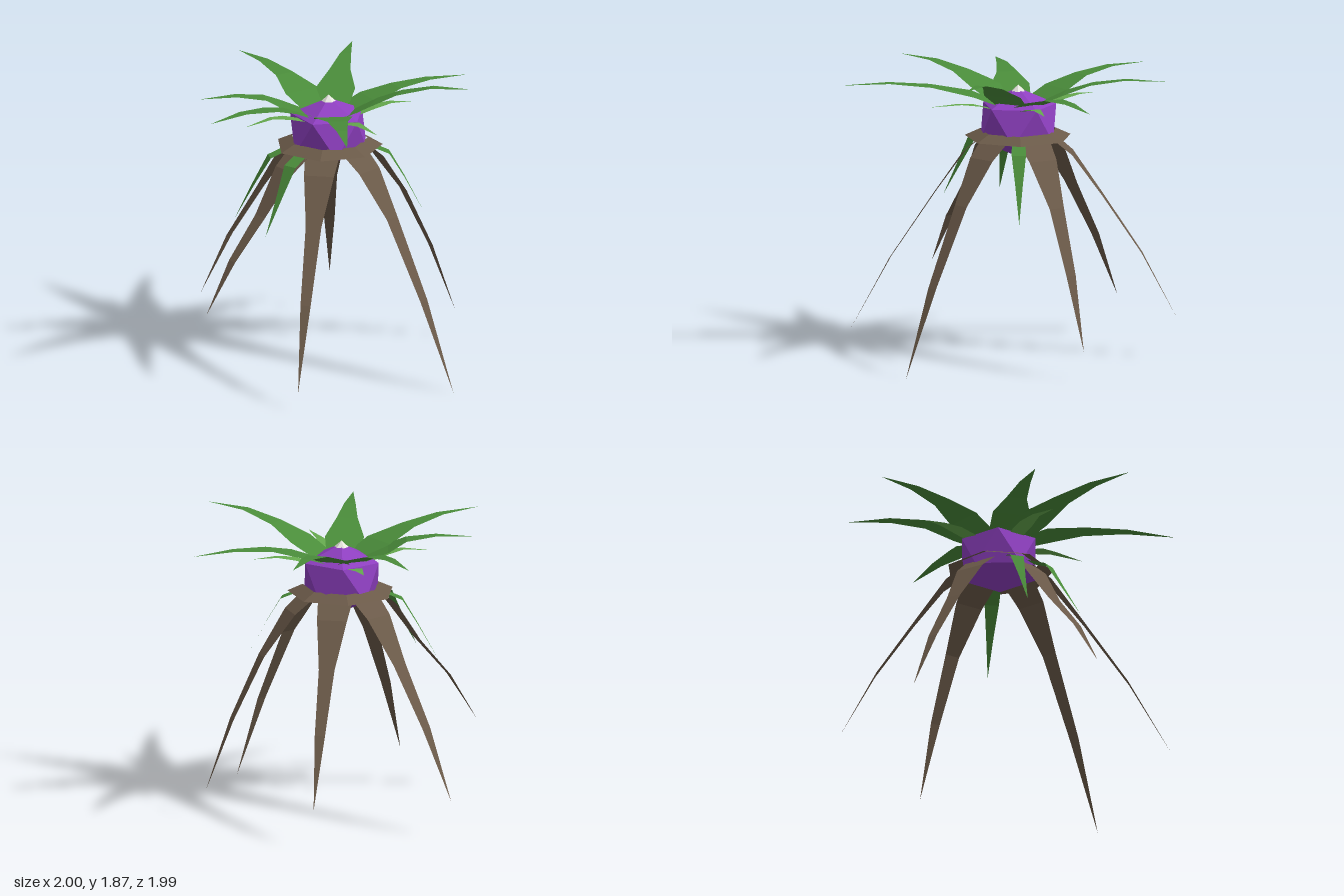
import * as THREE from 'three';

const CX = 0.02, CZ = -0.04; // axis of the plant

const mat = (name, color, side = THREE.DoubleSide) => {
  const m = new THREE.MeshStandardMaterial({ color, flatShading: true, side });
  m.name = name;
  return m;
};

// Flat tapering blade: rows of [radius, height, width] running out to a pointed tip.
function blade(name, material, tip, rows) {
  const [tx, ty, tz] = tip;
  const angle = Math.atan2(tz - CZ, tx - CX);
  const c = Math.cos(angle), s = Math.sin(angle);
  const pos = [], idx = [];
  for (const [r, y, w] of rows) {
    for (const k of [-w / 2, w / 2]) pos.push(CX + r * c - k * s, y, CZ + r * s + k * c);
  }
  pos.push(tx, ty, tz);
  const last = rows.length - 1;
  for (let i = 0; i < last; i++) {
    const a = i * 2;
    idx.push(a, a + 2, a + 1, a + 1, a + 2, a + 3);
  }
  idx.push(last * 2, last * 2 + 2, last * 2 + 1);
  const g = new THREE.BufferGeometry();
  g.setAttribute('position', new THREE.Float32BufferAttribute(pos, 3));
  g.setIndex(idx);
  g.computeVertexNormals();
  const mesh = new THREE.Mesh(g, material);
  mesh.name = name;
  return mesh;
}

// Twenty-sided bulb: two opposed pentagon rings with a point above and below.
function bulbGeometry(R, ringY, tipY) {
  const pos = [0, tipY, 0, 0, -tipY, 0], idx = [];
  for (let i = 0; i < 5; i++) {
    const a = i * Math.PI * 0.4, b = a + Math.PI / 5;
    pos.push(R * Math.cos(a), ringY, R * Math.sin(a));
    pos.push(R * Math.cos(b), -ringY, R * Math.sin(b));
  }
  for (let i = 0; i < 5; i++) {
    const t = 2 + i * 2, b = t + 1;
    const t2 = 2 + ((i + 1) % 5) * 2, b2 = t2 + 1;
    idx.push(0, t2, t, t, t2, b, b, t2, b2, 1, b, b2);
  }
  const g = new THREE.BufferGeometry();
  g.setAttribute('position', new THREE.Float32BufferAttribute(pos, 3));
  g.setIndex(idx);
  g.computeVertexNormals();
  return g;
}

export function createModel() {
  const model = new THREE.Group();
  model.name = 'spikyPlant';

  const purple = mat('purple', 0x8e3fc0, THREE.FrontSide);
  const green = mat('leafGreen', 0x4a8c3a);
  const lightGreen = mat('lightGreen', 0x66aa4e);
  const brown = mat('rootBrown', 0x6b5a49);
  const white = mat('paleTip', 0xeeeee6, THREE.FrontSide);

  const add = (name, geometry, material, y) => {
    const m = new THREE.Mesh(geometry, material);
    m.name = name;
    m.position.set(CX, y, CZ);
    model.add(m);
  };

  // Central bulb, its pale tip and the sloping seven-sided collar
  add('bulb', bulbGeometry(0.242, 0.112, 0.22), purple, 1.5);
  add('bulbTip', new THREE.ConeGeometry(0.045, 0.04, 6), white, 1.72);
  add('collar', new THREE.CylinderGeometry(0.245, 0.34, 0.045, 7, 1, true, -Math.PI / 2), brown, 1.43);

  // Crown of large leaves, arching up and levelling off
  const crown = [
    [-0.08, 1.78, -1.0], [0.615, 1.79, -0.78], [1.0, 1.72, -0.02], [0.65, 1.87, 0.67],
    [-0.435, 1.75, 0.99], [-1.0, 1.79, 0.25], [-0.76, 1.76, -0.3],
  ];
  for (const tip of crown) {
    const R = Math.hypot(tip[0] - CX, tip[2] - CZ);
    const rise = tip[1] - 1.61;
    model.add(blade('crownLeaf', green, tip, [
      [0.1, 1.61, 0.2], [0.29, 1.65 + rise * 0.25, 0.245],
      [0.47 * R + 0.02, 1.67 + rise * 0.5, 0.13], [0.72 * R, 1.65 + rise * 0.8, 0.07],
    ]));
  }

  // Small pale leaves between the crown and the collar
  const small = [[-0.58, 1.62, -0.04], [0.06, 1.65, -0.56], [0.57, 1.64, 0.07], [0.01, 1.65, 0.59]];
  for (const tip of small) {
    model.add(blade('smallLeaf', lightGreen, tip, [
      [0.16, 1.595, 0.1], [0.3, 1.635, 0.1], [0.41, 1.65, 0.05],
    ]));
  }

  // Short leaves drooping from the collar
  for (const tip of [[0.55, 0.96, 0.24], [-0.56, 0.96, 0.18], [-0.56, 0.96, -0.22]]) {
    model.add(blade('droopingLeaf', green, tip, [
      [0.24, 1.42, 0.085], [0.38, 1.36, 0.09], [0.475, 1.2, 0.05],
    ]));
  }

  // Long roots that arch down to the ground
  const roots = [
    [-0.675, 0.12, 0.79], [0.357, 0, 0.945], [-0.92, 0.47, 0.065],
    [-0.375, 0.245, -0.96], [0.52, 0.255, -0.9], [0.92, 0.19, -0.02],
  ];
  for (const tip of roots) {
    const R = Math.hypot(tip[0] - CX, tip[2] - CZ);
    model.add(blade('root', brown, tip, [
      [0.22, 1.41, 0.22], [0.34, 1.31, 0.19], [0.53, 1.04, 0.1],
      [(0.53 + R) / 2 + 0.01, (1.04 + tip[1]) / 2 + 0.03, 0.065],
    ]));
  }

  return model;
}
